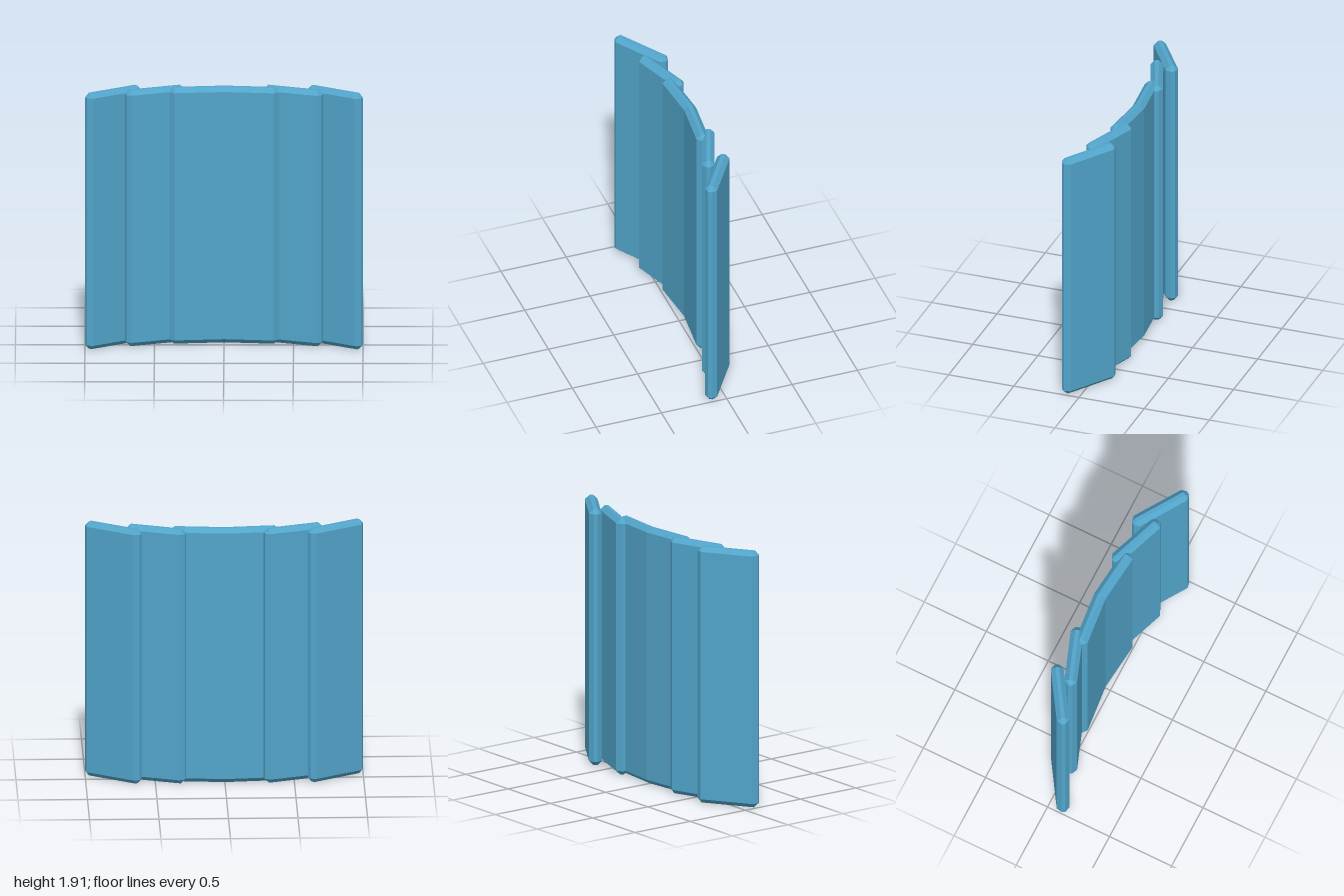
import * as THREE from 'three';
import { ConvexGeometry } from 'three/addons/geometries/ConvexGeometry.js';

const HEIGHT = 1.908, HALF_H = HEIGHT / 2, HALF_T = 0.046, BEVEL = 0.032;

// Chamfered slab running from u = -halfLength to +halfLength, or from a flat
// seam at u = 0 when oneSided. The place function maps (u, v) to plan [x, z].
function slab(halfLength, oneSided, place) {
  const points = [];
  const add = (u, y, v) => {
    const [x, z] = place(u, v);
    points.push(new THREE.Vector3(x, y + HALF_H, z));
  };
  for (const su of [-1, 1]) for (const sy of [-1, 1]) for (const sv of [-1, 1]) {
    const seam = oneSided && su < 0;
    const inner = seam ? 0 : su * (halfLength - BEVEL);
    add(inner, sy * (HALF_H - BEVEL), sv * HALF_T);
    add(inner, sy * HALF_H, sv * (HALF_T - BEVEL));
    if (!seam) add(su * halfLength, sy * (HALF_H - BEVEL), sv * (HALF_T - BEVEL));
  }
  return new ConvexGeometry(points);
}

export function createModel() {
  const model = new THREE.Group();
  model.name = 'curvedShield';
  const blue = new THREE.MeshStandardMaterial({ color: 0x52a5cb });
  blue.name = 'steel blue';

  const addPart = (name, geometry) => {
    const mesh = new THREE.Mesh(geometry, blue);
    mesh.name = name;
    model.add(mesh);
  };

  // Overlapping side panels, each turned further forward
  const panels = [
    { name: 'MiddlePanel', x: 0.495, z: -0.043, half: 0.225, angle: 20 },
    { name: 'OuterPanel', x: 0.799, z: 0, half: 0.23, angle: 33 },
  ];

  for (const side of [1, -1]) {
    const prefix = side > 0 ? 'left' : 'right';

    // Half of the shallow V-shaped centre panel
    addPart(prefix + 'CentrePanel', slab(0.393, true, (u, v) => [
      side * u * (1 - 0.25 * v), -0.084 + 0.1 * u + v,
    ]));

    for (const p of panels) {
      const a = THREE.MathUtils.degToRad(p.angle);
      const c = Math.cos(a), s = Math.sin(a);
      addPart(prefix + p.name, slab(p.half, false, (u, v) => [
        side * (p.x + u * c - v * s), p.z + u * s + v * c,
      ]));
    }
  }
  return model;
}
